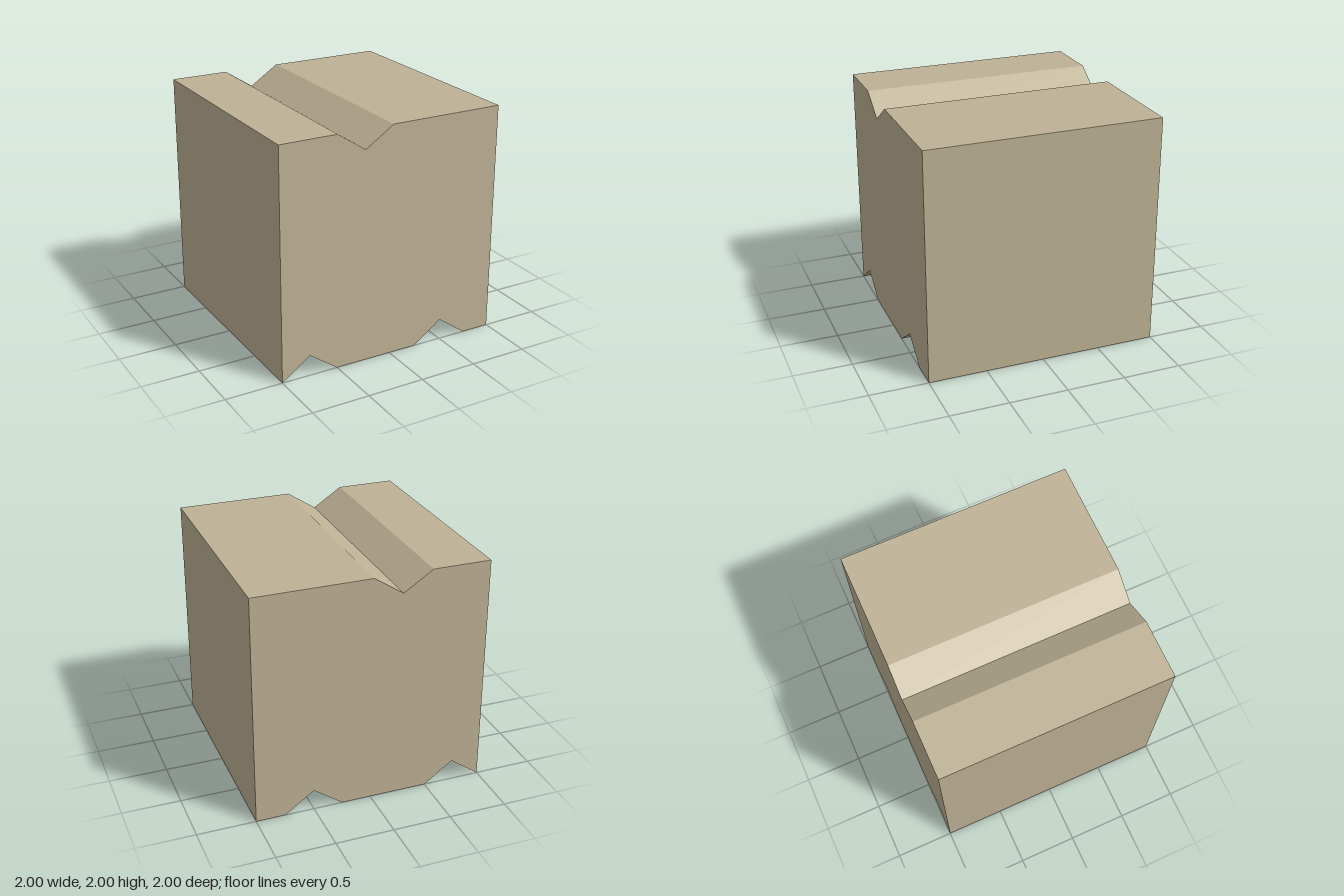
import * as THREE from 'three';

export function createModel() {
  const group = new THREE.Group();
  group.name = 'notchedBlock';

  const sandstone = new THREE.MeshStandardMaterial({ color: 0xbeb295 });
  sandstone.name = 'sandstone';

  // Square outline with one V groove on top and two underneath
  const outline = [
    [-1, 0], [-0.75, 0.18], [-0.5, 0],
    [0.25, 0], [0.5, 0.18], [0.75, 0],
    [1, 0], [1, 2],
    [0, 2], [-0.25, 1.835], [-0.5, 2],
    [-1, 2],
  ];
  const shape = new THREE.Shape(outline.map(([x, y]) => new THREE.Vector2(x, y)));

  // Grooves run the full depth, front to back
  const geometry = new THREE.ExtrudeGeometry(shape, { depth: 2, bevelEnabled: false });
  geometry.translate(0, 0, -1);

  const block = new THREE.Mesh(geometry, sandstone);
  block.name = 'groovedBlock';
  group.add(block);
  return group;
}
